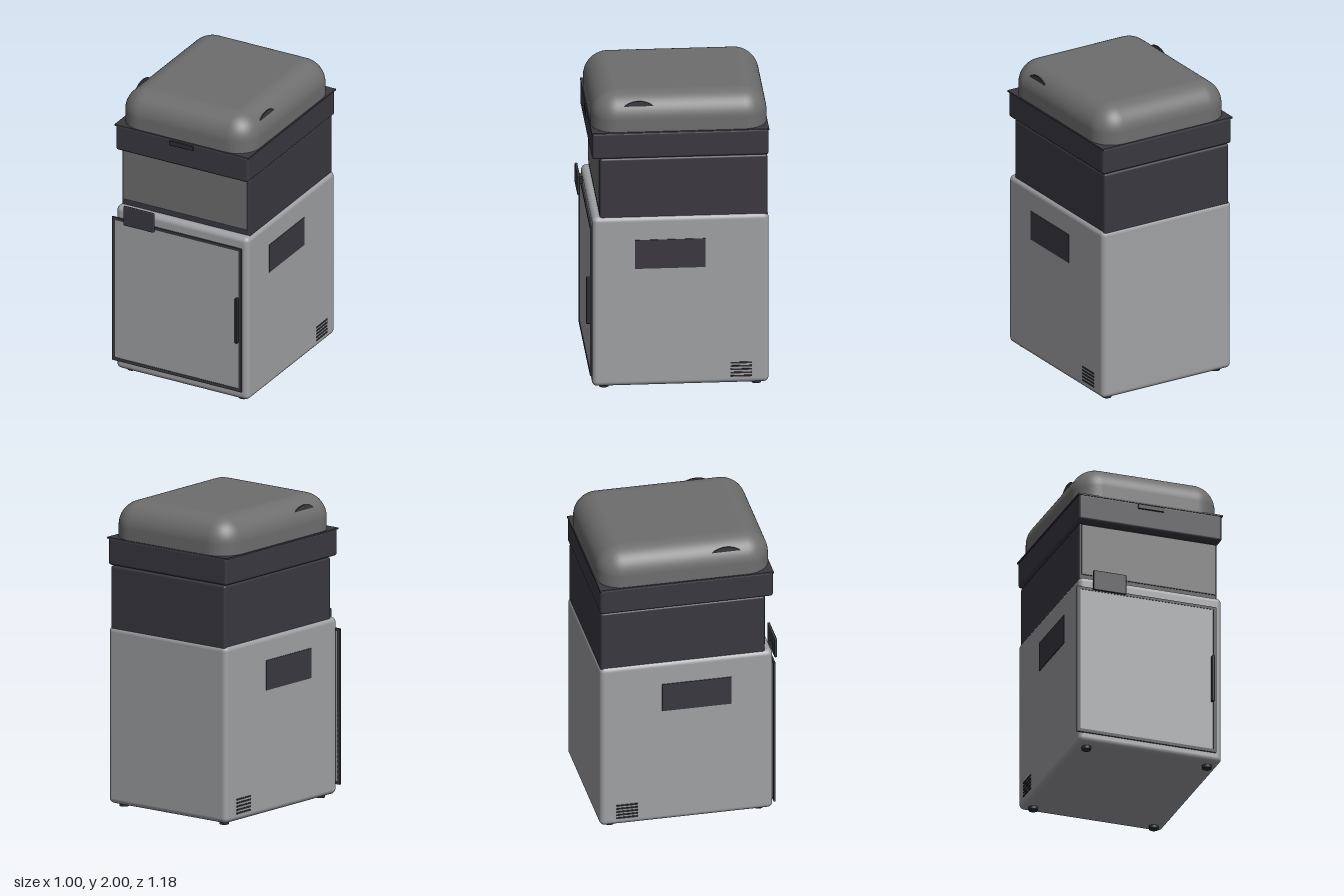
import * as THREE from 'three';
import { RoundedBoxGeometry } from 'three/addons/geometries/RoundedBoxGeometry.js';

const mat = (name, color) => new THREE.MeshStandardMaterial({ name, color });

export function createModel() {
  const lightGrey = mat('light grey', 0xa0a1a4);
  const midGrey = mat('mid grey', 0x6e6e6e);
  const charcoal = mat('charcoal', 0x3a3840);
  const black = mat('soft black', 0x2c2d33);
  const model = new THREE.Group();
  model.name = 'cabinet';

  // Adds a box given by its extents; a radius rounds its edges
  function box(name, material, [x0, x1], [y0, y1], [z0, z1], radius = 0, segments = 4) {
    const size = [x1 - x0, y1 - y0, z1 - z0];
    const geometry = radius
      ? new RoundedBoxGeometry(...size, segments, radius)
      : new THREE.BoxGeometry(...size);
    const mesh = new THREE.Mesh(geometry, material);
    mesh.name = name;
    mesh.position.set((x0 + x1) / 2, (y0 + y1) / 2, (z0 + z1) / 2);
    model.add(mesh);
    return mesh;
  }

  // Main stacked volumes
  box('body', lightGrey, [-0.48, 0.493], [0.02, 1.18], [-0.588, 0.543], 0.035);
  box('upperHousing', charcoal, [-0.464, 0.476], [1.1, 1.577], [-0.58, 0.493], 0.015);
  box('upperFrontPanel', midGrey, [-0.446, 0.46], [1.222, 1.566], [0.49, 0.498]);
  box('upperFrontSill', black, [-0.446, 0.46], [1.215, 1.222], [0.49, 0.498]);
  box('lidRim', charcoal, [-0.48, 0.492], [1.58, 1.76], [-0.587, 0.544], 0.018);
  box('lidLip', charcoal, [-0.485, 0.497], [1.752, 1.762], [-0.59, 0.546]);
  box('lidLatch', black, [-0.083, 0.095], [1.715, 1.748], [0.54, 0.553], 0.005, 2);
  box('lidDome', midGrey, [-0.476, 0.489], [1.6, 2.0], [-0.584, 0.54], 0.16, 10);

  // Round grips standing out of the dome
  for (const x of [-0.446, 0.46]) {
    const grip = new THREE.Mesh(new THREE.CylinderGeometry(0.15, 0.15, 0.007, 48), charcoal);
    grip.name = 'lidGrip';
    grip.rotation.z = Math.PI / 2;
    grip.position.set(x, 1.811, 0.243);
    model.add(grip);
  }

  // Front door with its four-sided frame
  const doorZ = [0.541, 0.553];
  box('doorPanel', lightGrey, [-0.48, 0.43], [0.1, 1.085], [0.541, 0.55]);
  box('doorFrameLeft', charcoal, [0.428, 0.448], [0.08, 1.102], doorZ);
  box('doorFrameRight', charcoal, [-0.5, -0.478], [0.08, 1.102], doorZ);
  box('doorFrameTop', charcoal, [-0.478, 0.428], [1.083, 1.102], doorZ);
  box('doorFrameBottom', charcoal, [-0.478, 0.428], [0.08, 0.102], doorZ);
  box('doorHandle', black, [0.412, 0.428], [0.43, 0.752], [0.55, 0.576], 0.005, 2);

  // Touch display on its short arm
  box('display', charcoal, [-0.398, -0.175], [1.078, 1.215], [0.57, 0.587], 0.006, 3);
  box('displayArm', black, [-0.33, -0.296], [1.11, 1.145], [0.5, 0.572]);

  // Side windows and vent slats, on both sides
  for (const [x0, x1] of [[0.488, 0.497], [-0.485, -0.476]]) {
    box('sideWindow', charcoal, [x0, x1], [0.826, 1.022], [-0.183, 0.27]);
    for (let i = 0; i < 5; i++) {
      const y = 0.073 + i * 0.0225;
      box('ventSlat', black, [x0, x1], [y - 0.005, y + 0.005], [-0.48, -0.342]);
    }
  }

  // Feet
  for (const x of [-0.403, 0.417]) {
    for (const z of [-0.512, 0.463]) {
      const foot = new THREE.Mesh(new THREE.CylinderGeometry(0.031, 0.031, 0.03, 24), black);
      foot.name = 'foot';
      foot.position.set(x, 0.015, z);
      model.add(foot);
    }
  }
  return model;
}
